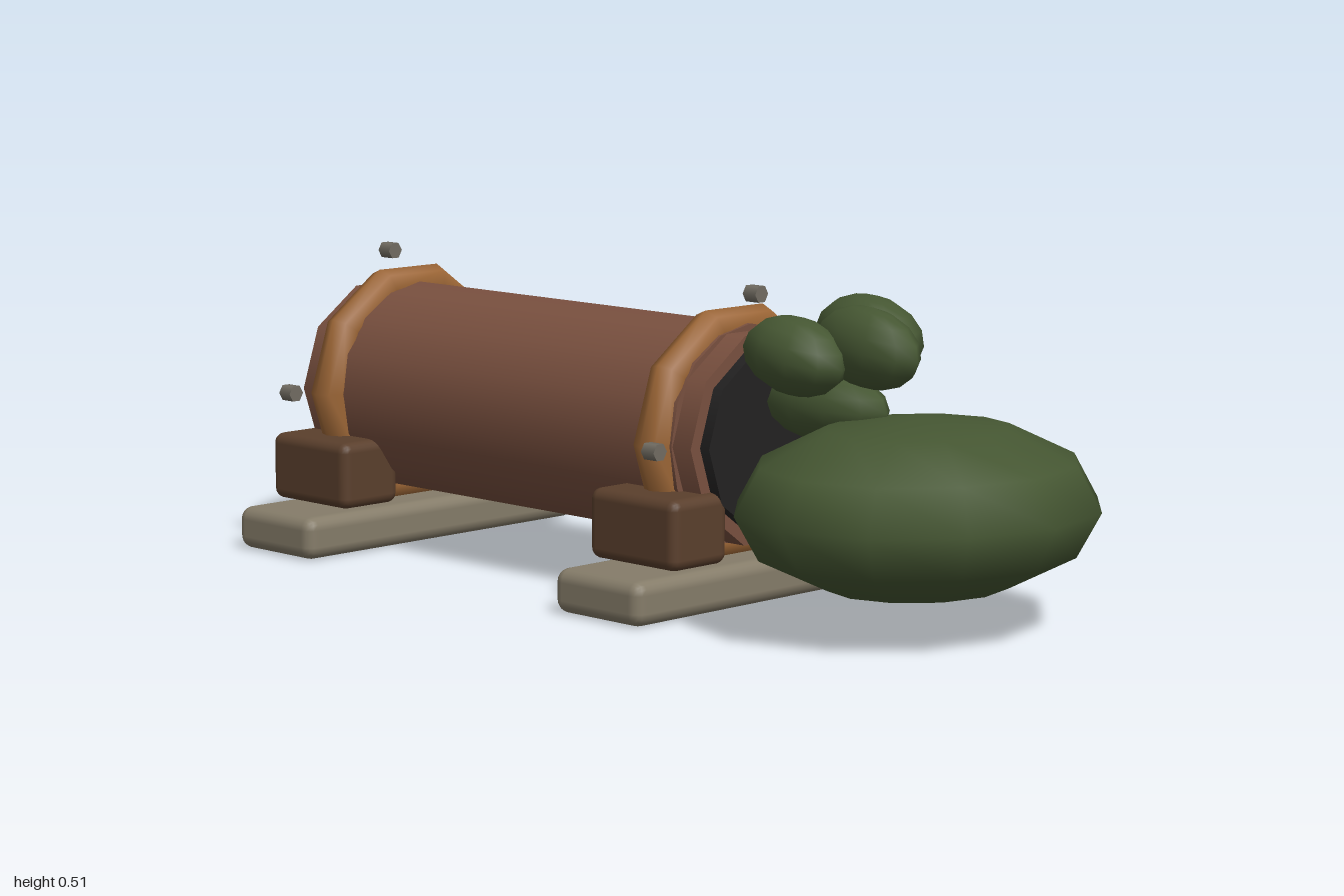
import * as THREE from 'three';
import { RoundedBoxGeometry } from 'three/addons/geometries/RoundedBoxGeometry.js';

const AXIS_Y = 0.27, AXIS_Z = 0.084; // centre line of the log

function mat(name, color) {
  const m = new THREE.MeshStandardMaterial({ color });
  m.name = name;
  return m;
}

export function createModel() {
  const bark = mat('bark', 0x79503f);
  const copper = mat('copper band', 0x9c6636);
  const darkWood = mat('dark wood', 0x5a3f2c);
  const stone = mat('stone', 0x857c69);
  const leaf = mat('leaf green', 0x455632);
  const hollowBlack = mat('hollow black', 0x232222);
  const bolt = mat('bolt grey', 0x716c62);

  const model = new THREE.Group();
  model.name = 'logOnPlanks';

  function add(name, geometry, material, x, y, z) {
    const mesh = new THREE.Mesh(geometry, material);
    mesh.name = name;
    mesh.position.set(x, y, z);
    model.add(mesh);
    return mesh;
  }
  // Cylinder lying along x between two x positions
  function lying(name, material, x0, x1, r, sides, y = AXIS_Y, z = AXIS_Z) {
    const g = new THREE.CylinderGeometry(r, r, x1 - x0, sides).rotateZ(Math.PI / 2);
    return add(name, g, material, (x0 + x1) / 2, y, z);
  }
  // Stretched low-poly ball
  function blob(name, material, [x, y, z], [rx, ry, rz], w, h, tilt = 0) {
    const mesh = add(name, new THREE.SphereGeometry(1, w, h), material, x, y, z);
    mesh.scale.set(rx, ry, rz);
    mesh.rotation.z = tilt;
    return mesh;
  }

  // Log with stepped ends and a dark hollow on the +x end
  lying('logBody', bark, -0.5, 0.36, 0.181, 16);
  lying('logBackEnd', bark, -0.543, -0.49, 0.178, 10);
  lying('logFrontEnd', bark, 0.34, 0.4, 0.178, 10);
  lying('logHollow', hollowBlack, 0.39, 0.42, 0.157, 10);

  // Each end: band, bolts, chocks and plank
  const ends = [
    { bandX: -0.467, boltX: -0.515, plankX: -0.467 },
    { bandX: 0.323, boltX: 0.37, plankX: 0.323 },
  ];
  for (const { bandX, boltX, plankX } of ends) {
    add('band', new THREE.TorusGeometry(0.182, 0.033, 8, 10).rotateY(Math.PI / 2),
      copper, bandX, AXIS_Y, AXIS_Z);

    for (const angle of [0, Math.PI / 2, Math.PI]) {
      lying('bolt', bolt, boltX - 0.014, boltX + 0.014, 0.015, 6,
        AXIS_Y + 0.23 * Math.sin(angle), AXIS_Z + 0.23 * Math.cos(angle));
    }
    for (const side of [-1, 1]) {
      add('chock', new RoundedBoxGeometry(0.195, 0.115, 0.125, 2, 0.018),
        darkWood, plankX, 0.139, AXIS_Z + side * 0.173);
    }
    add('plank', new RoundedBoxGeometry(0.194, 0.073, 0.63, 2, 0.022),
      stone, plankX, 0.04, AXIS_Z);
  }

  // Large bush in front of the hollow
  blob('bush', leaf, [0.72, 0.198, AXIS_Z], [0.275, 0.143, 0.312], 12, 6);

  // Small leaf cluster growing from the hollow
  blob('sproutStem', leaf, [0.53, 0.335, 0.085], [0.125, 0.058, 0.056], 10, 8);
  blob('sproutLeafFront', leaf, [0.518, 0.42, 0.148], [0.1, 0.062, 0.061], 10, 8, -0.15);
  blob('sproutLeafBack', leaf, [0.585, 0.448, 0.05], [0.1, 0.066, 0.066], 10, 8, -0.15);
  blob('sproutLeafTip', leaf, [0.62, 0.438, 0.092], [0.105, 0.064, 0.05], 10, 8, -0.15);

  // Flat stone at the far end
  const slab = blob('flatStone', stone, [-0.785, 0.081, -0.236], [0.216, 0.047, 0.167], 14, 4, 0.04);
  slab.rotation.x = 0.05;

  return model;
}
